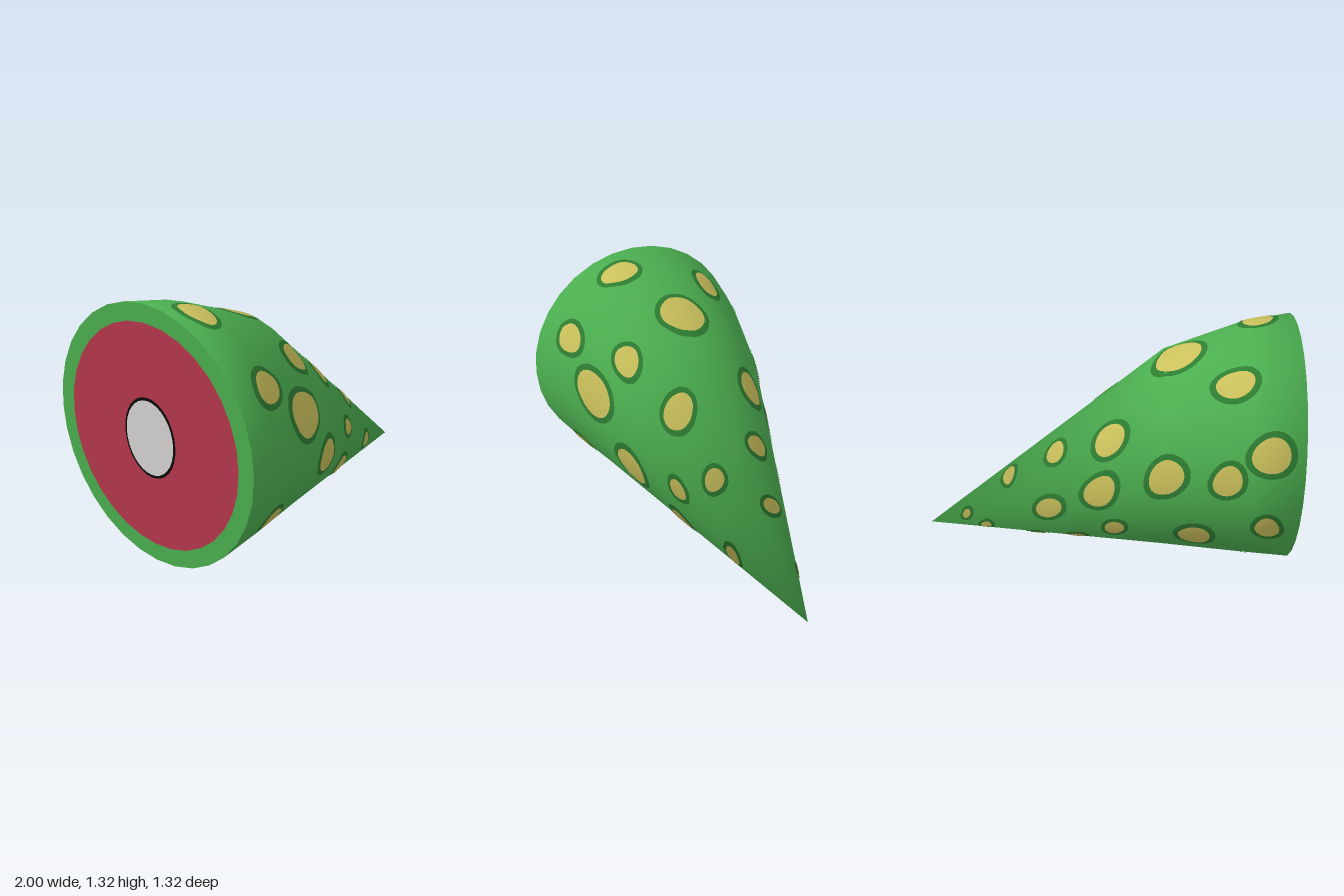
import * as THREE from 'three';

const mat = (name, color, opts = {}) => Object.assign(new THREE.MeshStandardMaterial({ color, ...opts }), { name });

// Cross-sections along the tail: x, centre height, half height, half width
const SECTIONS = [
  [-1, 0.66, 0.66, 0.66],
  [-0.75, 0.641, 0.635, 0.61],
  [-0.33, 0.568, 0.555, 0.49],
  [1, 0.02, 0, 0],
];
const SIDES = 32;

// Spots: x, angle from the top towards +z, half length along x, half length around
const SPOTS = [
  // +z side
  [-0.82, 0.26, 0.08, 0.11], [-0.745, 1.02, 0.085, 0.08], [-0.35, 0.77, 0.075, 0.08],
  [-0.46, 1.3, 0.135, 0.115], [-0.01, 0.585, 0.07, 0.095], [-0.175, 1.78, 0.1, 0.09],
  [0.31, 0.69, 0.045, 0.06], [0.165, 1.41, 0.052, 0.045], [-0.7, 2.17, 0.08, 0.068],
  [-0.27, 2.55, 0.09, 0.065], [0.15, 2.14, 0.068, 0.075], [0.53, 1.74, 0.045, 0.046],
  // top and -z side
  [-0.4, -0.05, 0.118, 0.13], [-0.84, -1.18, 0.09, 0.09], [-0.67, -0.586, 0.09, 0.075],
  [-0.05, -0.755, 0.075, 0.085], [0.245, -0.507, 0.048, 0.063], [0.515, -0.4, 0.035, 0.055],
  [-0.34, -1.35, 0.09, 0.09], [-0.64, -1.39, 0.07, 0.08], [0, -1.38, 0.08, 0.085],
  [0.28, -1.53, 0.07, 0.06], [-0.85, -1.83, 0.06, 0.07], [-0.5, -2.05, 0.085, 0.08],
  [-0.08, -2, 0.055, 0.055],
  // underside and tip
  [0.365, -2.52, 0.048, 0.04], [0.125, -2.36, 0.045, 0.038], [0.08, -3, 0.08, 0.075],
  [-0.34, -2.74, 0.075, 0.065], [-0.79, -2.68, 0.075, 0.075], [-0.75, 3.05, 0.095, 0.1],
  [0.77, -1.26, 0.025, 0.024], [0.655, -2.05, 0.032, 0.03],
];

// Smooth lofted skin through the cross-sections
function makeSkin() {
  const pos = [], index = [];
  for (const [x, c, h, w] of SECTIONS) {
    for (let j = 0; j < SIDES; j++) {
      const a = (j / SIDES) * Math.PI * 2;
      pos.push(x, c + h * Math.cos(a), w * Math.sin(a));
    }
  }
  for (let i = 0; i < SECTIONS.length - 1; i++) {
    for (let j = 0; j < SIDES; j++) {
      const a = i * SIDES + j, b = i * SIDES + (j + 1) % SIDES;
      index.push(a, b, a + SIDES);
      if (i < SECTIONS.length - 2) index.push(b, b + SIDES, a + SIDES);
    }
  }
  const g = new THREE.BufferGeometry();
  g.setAttribute('position', new THREE.Float32BufferAttribute(pos, 3));
  g.setIndex(index);
  g.computeVertexNormals();
  // Soften the rim into the cut face and share one normal at the tip
  const n = g.attributes.normal, v = new THREE.Vector3();
  for (let j = 0; j < SIDES; j++) {
    v.fromBufferAttribute(n, j);
    v.x -= 0.6;
    v.normalize();
    n.setXYZ(j, v.x, v.y, v.z);
    n.setXYZ((SECTIONS.length - 1) * SIDES + j, 0.94, -0.35, 0);
  }
  return g;
}

// Interpolate a skin attribute at a lengthwise position and an angle
function sample(attr, x, angle) {
  let i = 0;
  while (i < SECTIONS.length - 2 && x > SECTIONS[i + 1][0]) i++;
  const t = (x - SECTIONS[i][0]) / (SECTIONS[i + 1][0] - SECTIONS[i][0]);
  const s = (angle / (Math.PI * 2) + 2) * SIDES, j = Math.floor(s);
  const at = (r, k) => new THREE.Vector3().fromBufferAttribute(attr, r * SIDES + k % SIDES);
  const ring = (r) => at(r, j).lerp(at(r, j + 1), s - j);
  return ring(i).lerp(ring(i + 1), t);
}

// Thin rounded patch that follows the skin
function makeSpot(skin, [x0, a0, length, around], seed, grow, lift) {
  const g = new THREE.RingGeometry(0.001, 1, 28, 4);
  const p = g.attributes.position, n = g.attributes.normal;
  const axis = SECTIONS[1];
  const radius = x0 < -0.33
    ? THREE.MathUtils.mapLinear(x0, -1, -0.33, axis[2] + 0.025, 0.54)
    : 0.525 * (1 - x0) / 1.33;
  for (let k = 0; k < p.count; k++) {
    const px = p.getX(k), py = p.getY(k), a = Math.atan2(py, px);
    const wobble = 1 + 0.04 * Math.sin(2 * a + seed) + 0.03 * Math.sin(3 * a + 2 * seed);
    const x = THREE.MathUtils.clamp(x0 + px * wobble * (length + grow), -0.995, 0.99);
    const angle = a0 - py * wobble * (around + grow) / radius;
    const q = sample(skin.attributes.position, x, angle);
    const m = sample(skin.attributes.normal, x, angle).normalize();
    p.setXYZ(k, q.x + lift * 0.4, q.y + lift * Math.cos(angle), q.z + lift * Math.sin(angle));
    n.setXYZ(k, m.x, m.y, m.z);
  }
  return g;
}

export function createModel() {
  const group = new THREE.Group();
  const green = mat('skin green', 0x4caf50);
  const darkGreen = mat('spot edge green', 0x2e7d32);
  const yellow = mat('spot yellow', 0xcac05c);
  const red = mat('flesh red', 0xb5384c);
  const bone = mat('bone grey', 0xd6d2d2);
  const black = mat('bone edge black', 0x0a0a0a);
  const add = (name, geometry, material, parent = group) => {
    const m = new THREE.Mesh(geometry, material);
    m.name = name;
    parent.add(m);
    return m;
  };

  const skin = makeSkin();
  add('tailSkin', skin, green);

  // Spots with a darker edge
  const spots = new THREE.Group();
  spots.name = 'spots';
  group.add(spots);
  SPOTS.forEach((s, i) => {
    const edge = Math.min(0.03, 0.012 + s[2] * 0.2);
    add('spotEdge', makeSpot(skin, s, i, edge, 0.003), darkGreen, spots);
    add('spot', makeSpot(skin, s, i, 0, 0.006), yellow, spots);
  });

  // Cut face at the thick end: skin rim, flesh and bone
  const cut = new THREE.Group();
  cut.name = 'cutFace';
  cut.position.set(-1, 0.66, 0);
  cut.rotation.y = -Math.PI / 2;
  group.add(cut);
  add('skinRim', new THREE.RingGeometry(0.57, 0.66, SIDES), green, cut);
  add('flesh', new THREE.CircleGeometry(0.57, SIDES), red, cut);
  const boneEdge = add('boneEdge', new THREE.CircleGeometry(0.205, SIDES), black, cut);
  const boneDisc = add('bone', new THREE.CircleGeometry(0.19, SIDES), bone, cut);
  boneEdge.scale.x = boneDisc.scale.x = 0.85;
  boneEdge.position.z = 0.002;
  boneDisc.position.z = 0.004;
  return group;
}
